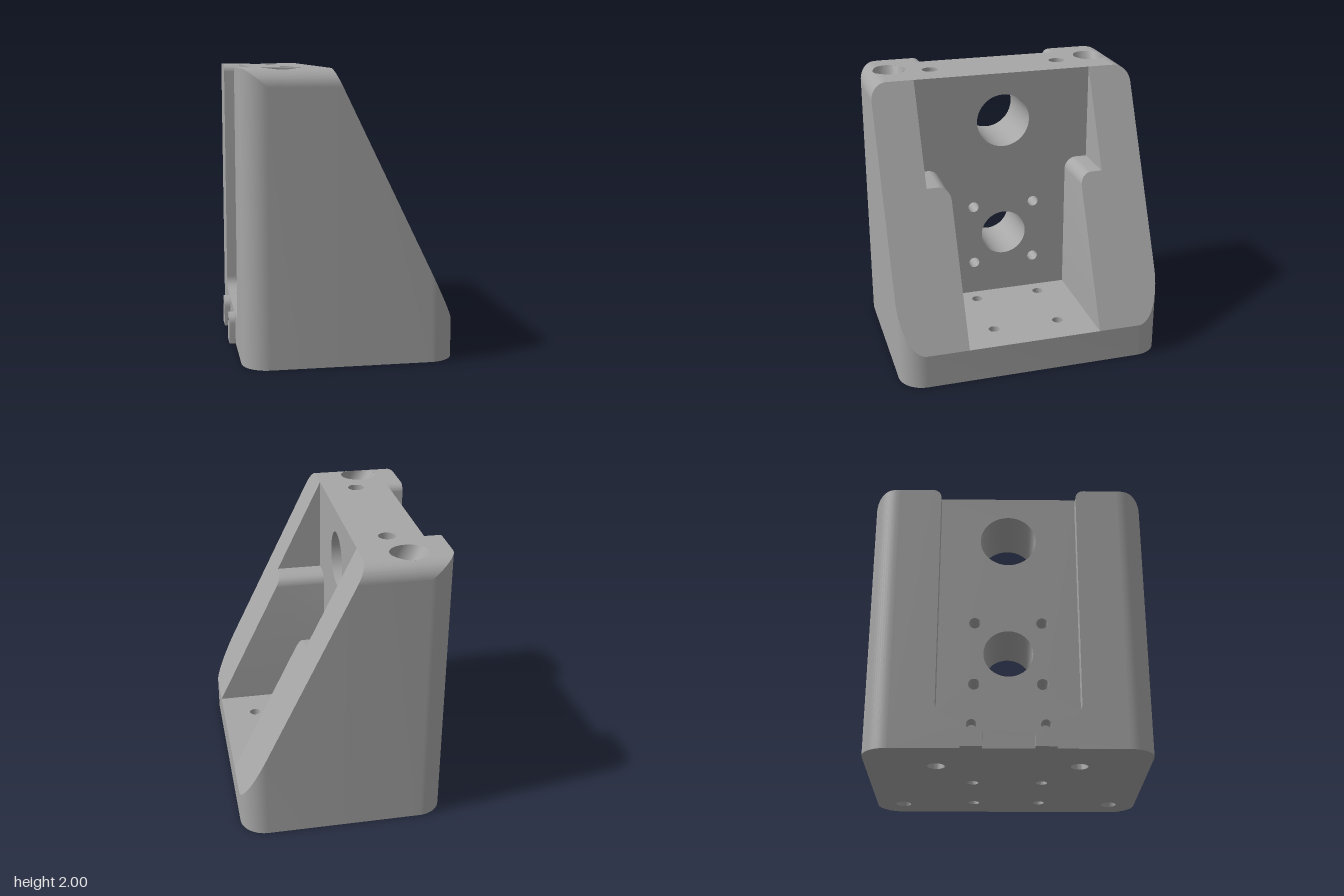
import * as THREE from 'three';
import { toCreasedNormals } from 'three/addons/utils/BufferGeometryUtils.js';

const BACK = -0.71, FRONT = 0.755, SIDE = 0.975, R = 0.18; // block extents, corner radius
const RECESS = -0.59, POCKET = -0.1, FLOOR = 0.25, LEDGE = 0.22;
const K = (FRONT - POCKET) / (2 - FLOOR), TILT = Math.atan(K); // slope of the cheeks
const TOPR = 0.12, FLAT = SIDE - TOPR; // rounding of the top side edges
const BOLT_X = -0.425, BOLT_Z = 0.78, BOLT_R = 0.12; // tilted counterbores

const P = (x, y) => new THREE.Vector2(x, y);
const V = (x, y, z) => new THREE.Vector3(x, y, z);
const slopeX = (y) => POCKET + (2 - y) * K;
const slopeY = (x) => 2 - (x - POCKET) / K;
const topY = (z) => {
  const d = Math.min(TOPR, Math.max(0, Math.abs(z) - FLAT));
  return 2 - TOPR + Math.sqrt(TOPR * TOPR - d * d);
};

function arc(cx, cy, r, from, to, n = 16) {
  const pts = [];
  for (let i = 0; i <= n; i++) {
    const a = ((from + ((to - from) * i) / n) * Math.PI) / 180;
    pts.push(P(cx + r * Math.cos(a), cy + r * Math.sin(a)));
  }
  return pts;
}
const circle = (cx, cy, r) => arc(cx, cy, r, 0, 360, 40);
const mirrorX = (pts) => pts.map((p) => P(-p.x, p.y)).reverse();
const mirrorY = (pts) => pts.map((p) => P(p.x, -p.y)).reverse();

// Surface through rows of points
function loft(rows) {
  const n = rows[0].length, index = [];
  for (let j = 0; j < rows.length - 1; j++) {
    for (let i = 0; i < n - 1; i++) {
      const a = j * n + i, b = a + n;
      index.push(a, a + 1, b, a + 1, b + 1, b);
    }
  }
  const g = new THREE.BufferGeometry().setFromPoints(rows.flat());
  g.setIndex(index);
  return toCreasedNormals(g, 0.6);
}

// Flat outline with holes, placed in space by a rule
function plate(outline, holes, place) {
  const shape = new THREE.Shape(outline);
  shape.holes = holes.map((h) => new THREE.Path(h.slice(0, -1)));
  const g = new THREE.ShapeGeometry(shape);
  const pos = g.attributes.position;
  for (let i = 0; i < pos.count; i++) {
    const v = place(P(pos.getX(i), pos.getY(i)));
    pos.setXYZ(i, v.x, v.y, v.z);
  }
  g.computeVertexNormals();
  return g;
}

export function createModel() {
  const group = new THREE.Group();
  const grey = new THREE.MeshStandardMaterial({ color: 0xa6a6a6, side: THREE.DoubleSide });
  grey.name = 'plain grey';
  const add = (name, geometry) => {
    const m = new THREE.Mesh(geometry, grey);
    m.name = name;
    group.add(m);
  };
  const atX = (x) => (p) => V(x, p.y, p.x); // outline given as (z, y)
  const atY = (y) => (p) => V(p.x, y, p.y); // outline given as (x, z)
  const tube = (name, pts, a, b) => add(name, loft([pts.map(a), pts.map(b)]));

  // Outer wall and base
  const halfWall = [
    ...arc(BACK + R, SIDE - R, R, 180, 90), P(slopeX(2 - TOPR), SIDE),
    ...arc(FRONT - R, SIDE - R, R, 90, 0),
  ];
  const wall = [...halfWall, ...mirrorY(halfWall)];
  tube('outerWall', wall, atY(0), (p) => V(p.x, Math.min(topY(p.y), slopeY(p.x)), p.y));

  const postHoles = [-1, 1].map((s) => circle(-0.345, s * 0.49, 0.06));
  const floorHoles = [];
  for (const x of [0.02, 0.51]) for (const s of [-1, 1]) floorHoles.push(circle(x, s * 0.245, 0.04));
  const exitX = BOLT_X + 2 * K;
  const exits = [-1, 1].map((s) =>
    circle(0, 0, 0.055).map((p) => P(exitX + p.x / Math.cos(TILT), s * BOLT_Z + p.y)));
  add('base', plate(wall, [...postHoles, ...floorHoles, ...exits], atY(0)));
  postHoles.forEach((h) => tube('postHole', h, atY(0), atY(2)));
  floorHoles.forEach((h) => tube('floorHole', h, atY(0), atY(FLOOR)));

  // Front pocket with stepped cheeks
  const pocketHalf = [P(0.66, 2), P(0.66, 1.3), ...arc(0.58, 1.21, 0.09, 90, 180), P(0.49, FLOOR)];
  const pocket = [...pocketHalf, ...mirrorX(pocketHalf)];
  const wallHoles = [circle(0, 1.64, 0.2), circle(0, 0.735, 0.173)];
  for (const y of [0.505, 0.97]) for (const s of [-1, 1]) wallHoles.push(circle(s * 0.235, y, 0.04));
  add('pocketWall', plate(pocket, wallHoles, atX(POCKET)));
  wallHoles.forEach((h) => tube('wallHole', h, atX(RECESS), atX(POCKET)));
  for (const side of [pocketHalf, mirrorX(pocketHalf)]) {
    tube('pocketSide', side, atX(POCKET), (p) => V(slopeX(p.y), p.y, p.x));
  }
  add('pocketFloor', plate(
    [P(POCKET, -0.49), P(FRONT, -0.49), P(FRONT, 0.49), P(POCKET, 0.49)], floorHoles, atY(FLOOR)));

  // Sloping cheek edges
  const cheek = [
    ...pocketHalf.map((p) => P(slopeX(p.y), p.x)),
    ...arc(FRONT - R, SIDE - R, R, 0, 90),
    ...arc(FLAT, 2 - TOPR, TOPR, 0, 90).map((p) => P(slopeX(p.y), p.x)),
  ];
  for (const s of [-1, 1]) {
    add('cheekEdge', plate(cheek, [], (p) => V(p.x, slopeY(p.x), s * p.y)));
  }

  // Back face with its recess
  const recessHalf = [
    ...arc(0.55, 1.94, 0.06, 90, 180), ...arc(0.39, LEDGE + 0.1, 0.1, 0, -90),
  ];
  const recess = [...recessHalf, ...mirrorX(recessHalf)];
  const lugHoles = [-1, 1].map((s) => circle(s * 0.245, 0.15, 0.035));
  add('backFace', plate(
    [P(SIDE - R, 0), P(SIDE - R, 2), ...recess, P(R - SIDE, 2), P(R - SIDE, 0)], lugHoles, atX(BACK)));
  add('recessWall', plate(recess, wallHoles, atX(RECESS)));
  for (const side of [recessHalf, mirrorX(recessHalf)]) {
    tube('recessSide', side, atX(BACK), atX(RECESS));
  }

  // Ledge with nut slots, and lugs behind them
  const slotIn = -0.65, slotOut = RECESS - 0.002;
  const slotMouths = [-1, 1].map((s) => {
    const a = s * 0.245 - 0.073, b = s * 0.245 + 0.073;
    return [P(slotIn, a), P(slotOut, a), P(slotOut, b), P(slotIn, b), P(slotIn, a)];
  });
  add('ledge', plate(
    [P(BACK, -0.39), P(RECESS, -0.39), P(RECESS, 0.39), P(BACK, 0.39)], slotMouths, atY(LEDGE)));
  const lugShape = new THREE.Shape([P(-0.073, 0), P(0.073, 0), ...arc(0, LEDGE - 0.073, 0.073, 0, 180)]);
  lugShape.holes.push(new THREE.Path(circle(0, 0.15, 0.035).slice(0, -1)));
  [-1, 1].forEach((s, i) => {
    const c = s * 0.245;
    const slot = [P(c - 0.073, LEDGE), P(c - 0.073, 0.108), P(c, 0.066), P(c + 0.073, 0.108), P(c + 0.073, LEDGE)];
    tube('nutSlot', slot, atX(slotIn), atX(slotOut));
    add('nutSlotBack', plate(slot, [lugHoles[i]], atX(slotIn)));
    add('nutSlotFront', plate(slot, [], atX(slotOut)));
    tube('lugHole', lugHoles[i], atX(BACK), atX(slotIn));
    const lug = new THREE.ExtrudeGeometry(lugShape, { depth: 0.045, bevelEnabled: false });
    add('lug', toCreasedNormals(lug.rotateY(Math.PI / 2).translate(-0.755, 0, c), 0.6));
  });

  // Flat top, notched by the recess and the counterbore mouths
  const mouthW = BOLT_R / Math.cos(TILT);
  const cut = (Math.asin((FLAT - BOLT_Z) / BOLT_R) * 180) / Math.PI;
  const leftX = (z) => BACK + R - Math.sqrt(Math.max(0, R * R - Math.max(0, z - SIDE + R) ** 2));
  const corner = [];
  for (let i = 0; i <= 6; i++) {
    const z = FLAT + ((SIDE - R - FLAT) * i) / 6;
    corner.push(P(leftX(z), z));
  }
  const topHalf = [
    P(POCKET, FLAT),
    ...arc(0, 0, 1, cut, -180 - cut, 36).map((p) => P(BOLT_X + p.x * mouthW, BOLT_Z + p.y * BOLT_R)),
    ...corner, P(BACK, 0.55), P(RECESS, 0.55),
  ];
  add('top', plate([...topHalf, ...mirrorY(topHalf)], postHoles, atY(2)));

  for (const s of [-1, 1]) {
    // Rounded top edge, on both sides of the counterbore mouth
    const left = [], right = [];
    for (const p of arc(FLAT, 2 - TOPR, TOPR, 90, 0, 24)) {
      const w = mouthW * Math.sqrt(Math.max(0, 1 - ((p.x - BOLT_Z) / BOLT_R) ** 2));
      left.push([V(leftX(p.x), p.y, s * p.x), V(BOLT_X - w, p.y, s * p.x)]);
      right.push([V(BOLT_X + w, p.y, s * p.x), V(slopeX(p.y), p.y, s * p.x)]);
    }
    add('topEdge', loft(left));
    add('topEdge', loft(right));

    // Tilted bolt hole with counterbore
    const seatY = 1.87, seatX = BOLT_X + (2 - seatY) * K;
    const seat = (p) => V(seatX + p.x * Math.cos(TILT), seatY + p.x * Math.sin(TILT), s * (BOLT_Z + p.y));
    const mouth = (p) => V(BOLT_X + p.x / Math.cos(TILT), topY(BOLT_Z + p.y), s * (BOLT_Z + p.y));
    const exit = (p) => V(exitX + p.x / Math.cos(TILT), 0, s * (BOLT_Z + p.y));
    const wide = circle(0, 0, BOLT_R), narrow = circle(0, 0, 0.055);
    tube('counterbore', wide, mouth, seat);
    add('boltSeat', loft([wide.map(seat), narrow.map(seat)]));
    tube('boltHole', narrow, seat, exit);
  }
  return group;
}
